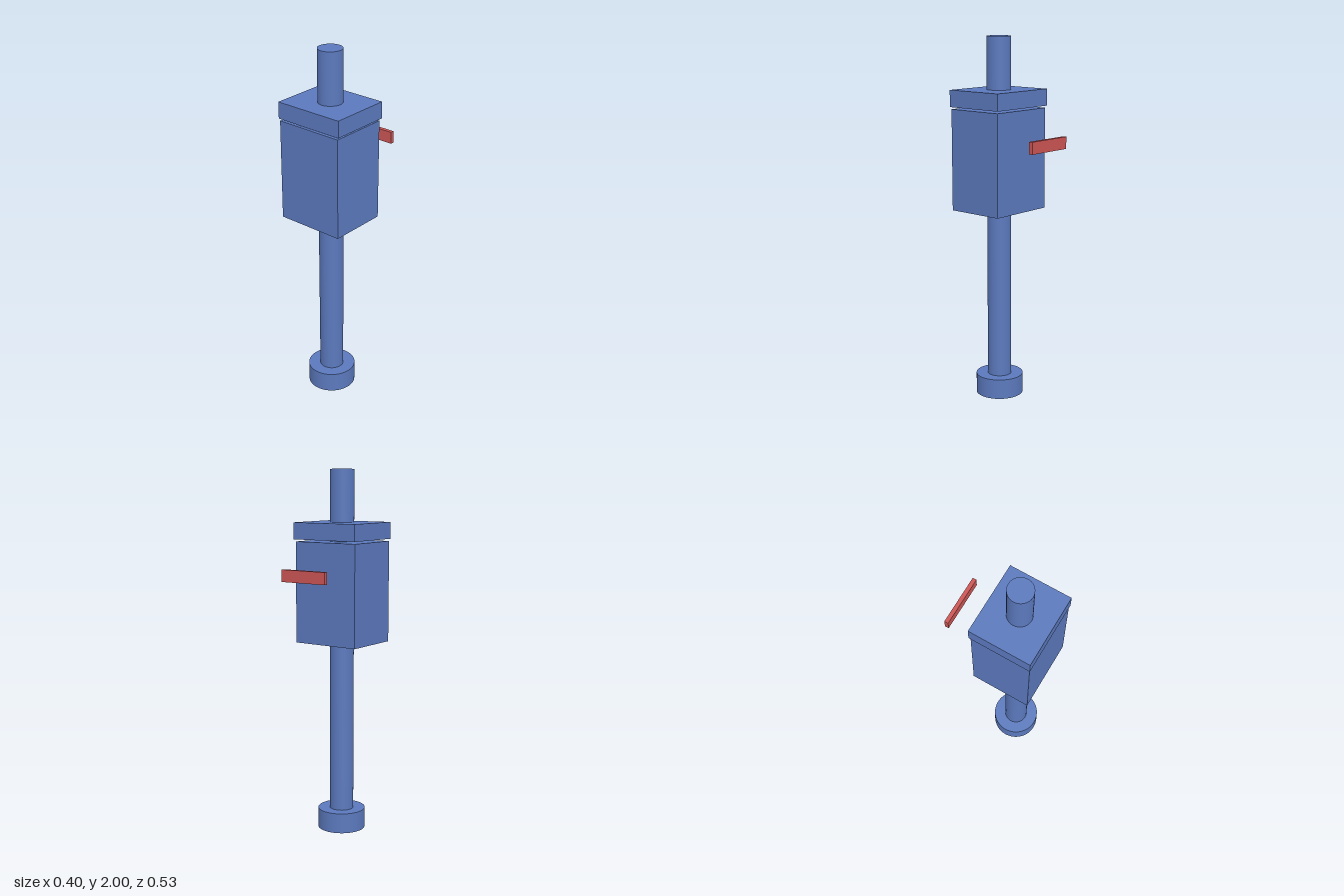
import * as THREE from 'three';

export function createModel() {
  const model = new THREE.Group();
  const blue = new THREE.MeshStandardMaterial({ color: 0x5b79bd });
  const red = new THREE.MeshStandardMaterial({ color: 0xcc5555 });
  const poleZ = 0.09;

  const add = (name, geometry, material, x, y, z) => {
    const mesh = new THREE.Mesh(geometry, material);
    mesh.name = name;
    mesh.position.set(x, y, z);
    model.add(mesh);
  };
  // Parts are given by their bottom and top heights
  const post = (name, r, y0, y1) =>
    add(name, new THREE.CylinderGeometry(r, r, y1 - y0, 48), blue, 0, (y0 + y1) / 2, poleZ);
  const box = (name, material, [x0, x1], [y0, y1], [z0, z1]) =>
    add(name, new THREE.BoxGeometry(x1 - x0, y1 - y0, z1 - z0), material,
      (x0 + x1) / 2, (y0 + y1) / 2, (z0 + z1) / 2);

  // Round foot and the pole that runs through the housing
  post('foot', 0.131, 0, 0.112);
  post('pole', 0.066, 0.112, 2);

  // Housing, with a slightly wider lid floating just above it
  box('housing', blue, [-0.195, 0.192], [1.06, 1.613], [-0.071, 0.259]);
  box('lid', blue, [-0.2, 0.2], [1.625, 1.716], [-0.08, 0.263]);

  // Detached bar behind the housing
  box('flagBar', red, [-0.139, 0.139], [1.413, 1.478], [-0.264, -0.242]);

  return model;
}
